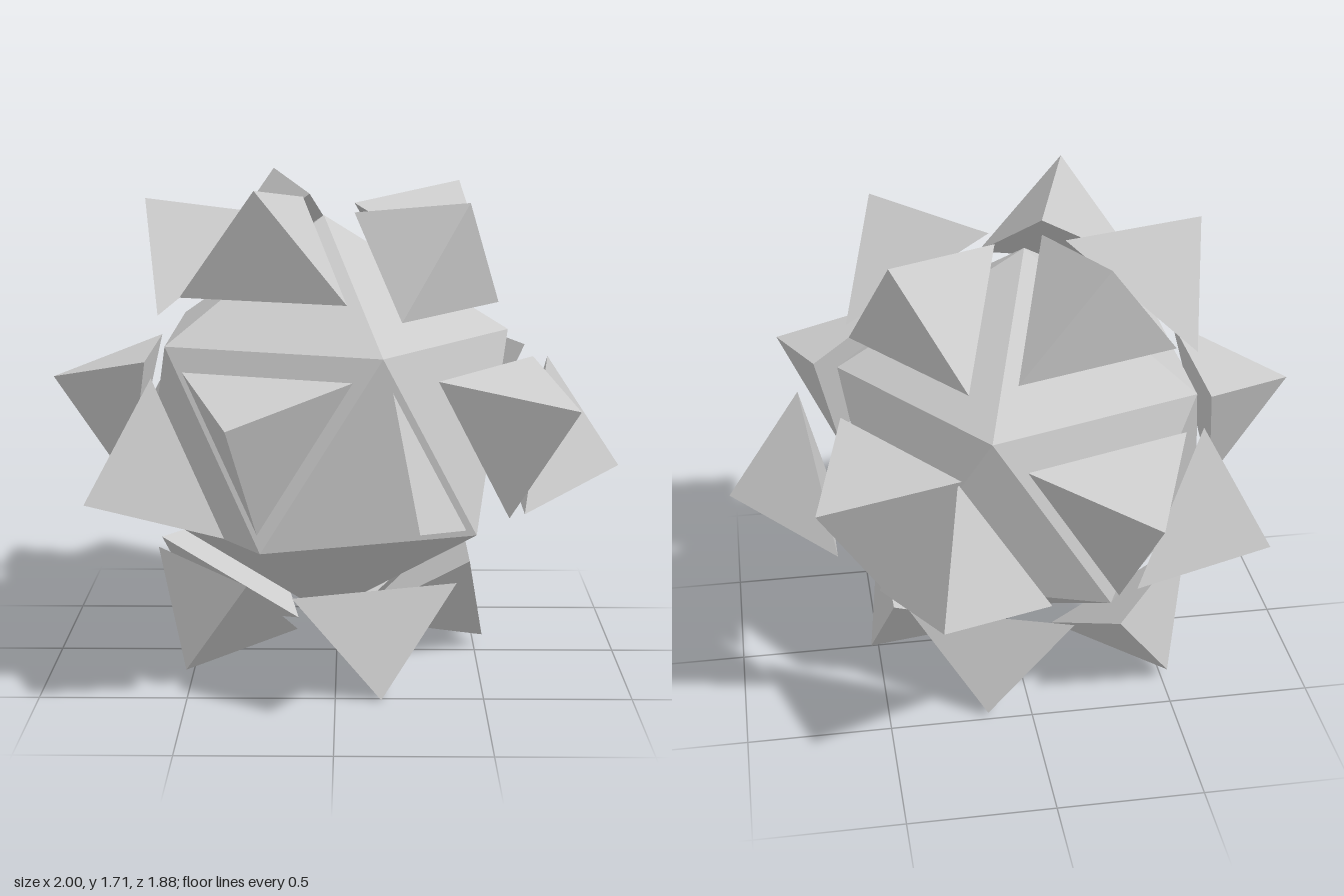
import * as THREE from 'three';

const CENTRE = new THREE.Vector3(-0.045, 0.858, -0.008);
const RADIUS = 0.721;
const SPIKE_BASE = 0.77;   // spike base relative to a core face
const SPIKE_HEIGHT = 0.33;

// Tips of the floating spikes, five per belt, going round from +x towards +z
const tips = {
  topSpike: [[0.44, 1.655, 0.365], [-0.26, 1.705, 0.5], [-0.66, 1.64, 0.025], [-0.24, 1.705, -0.51], [0.44, 1.675, -0.325]],
  upperSpike: [[0.79, 1.01, 0.605], [-0.33, 1.015, 0.935], [-1, 1.01, 0], [-0.335, 1.01, -0.945], [0.725, 1.01, -0.69]],
  lowerSpike: [[1, 0.695, 0.01], [0.265, 0.695, 0.94], [-0.82, 0.69, 0.575], [-0.79, 0.695, -0.605], [0.355, 0.695, -0.935]],
  bottomSpike: [[0.53, 0.04, -0.055], [0.155, 0, 0.515], [-0.52, 0.03, 0.305], [-0.52, 0.035, -0.36], [0.155, 0.015, -0.485]],
};

// Flat-sided mesh from triangles, each turned to face away from the given point
function solid(name, triangles, inside, material) {
  const points = [];
  for (const [a, b, c] of triangles) {
    const normal = b.clone().sub(a).cross(c.clone().sub(a));
    const outward = normal.dot(a.clone().sub(inside)) > 0;
    points.push(...(outward ? [a, b, c] : [a, c, b]));
  }
  const geometry = new THREE.BufferGeometry().setFromPoints(points);
  geometry.computeVertexNormals();
  const mesh = new THREE.Mesh(geometry, material);
  mesh.name = name;
  return mesh;
}

const centroid = (pts) =>
  pts.reduce((sum, p) => sum.add(p), new THREE.Vector3()).divideScalar(pts.length);

// Three-sided pyramid hovering over a core face
function spike(name, face, tip, material) {
  const mid = centroid(face);
  const normal = mid.clone().sub(CENTRE).normalize();
  const baseCentre = tip.clone().addScaledVector(normal, -SPIKE_HEIGHT);
  const [a, b, c] = face.map((v) =>
    v.clone().sub(mid).multiplyScalar(SPIKE_BASE).add(baseCentre));
  return solid(name, [[a, b, c], [a, b, tip], [b, c, tip], [c, a, tip]],
    centroid([a, b, c, tip]), material);
}

export function createModel() {
  const group = new THREE.Group();
  group.name = 'spikedIcosahedron';
  const material = new THREE.MeshStandardMaterial({ color: 0xcccccc, flatShading: true });

  // Core corners: two poles and two staggered rings of five
  const y = RADIUS / Math.sqrt(5);
  const ring = (k, height, turn) => {
    const angle = THREE.MathUtils.degToRad(72 * k + turn);
    return new THREE.Vector3(2 * y * Math.cos(angle), height, 2 * y * Math.sin(angle)).add(CENTRE);
  };
  const upper = (k) => ring(k, y, 0);
  const lower = (k) => ring(k, -y, 36);
  const top = CENTRE.clone().setY(CENTRE.y + RADIUS);
  const bottom = CENTRE.clone().setY(CENTRE.y - RADIUS);

  // Four belts of five faces, one spike over each
  const coreFaces = [];
  for (let k = 0; k < 5; k++) {
    const belts = {
      topSpike: [top, upper(k), upper(k + 1)],
      upperSpike: [upper(k), upper(k + 1), lower(k)],
      lowerSpike: [lower(k - 1), lower(k), upper(k)],
      bottomSpike: [lower(k - 1), lower(k), bottom],
    };
    for (const [name, face] of Object.entries(belts)) {
      coreFaces.push(face);
      group.add(spike(name + (k + 1), face, new THREE.Vector3(...tips[name][k]), material));
    }
  }
  group.add(solid('core', coreFaces, CENTRE, material));
  return group;
}
